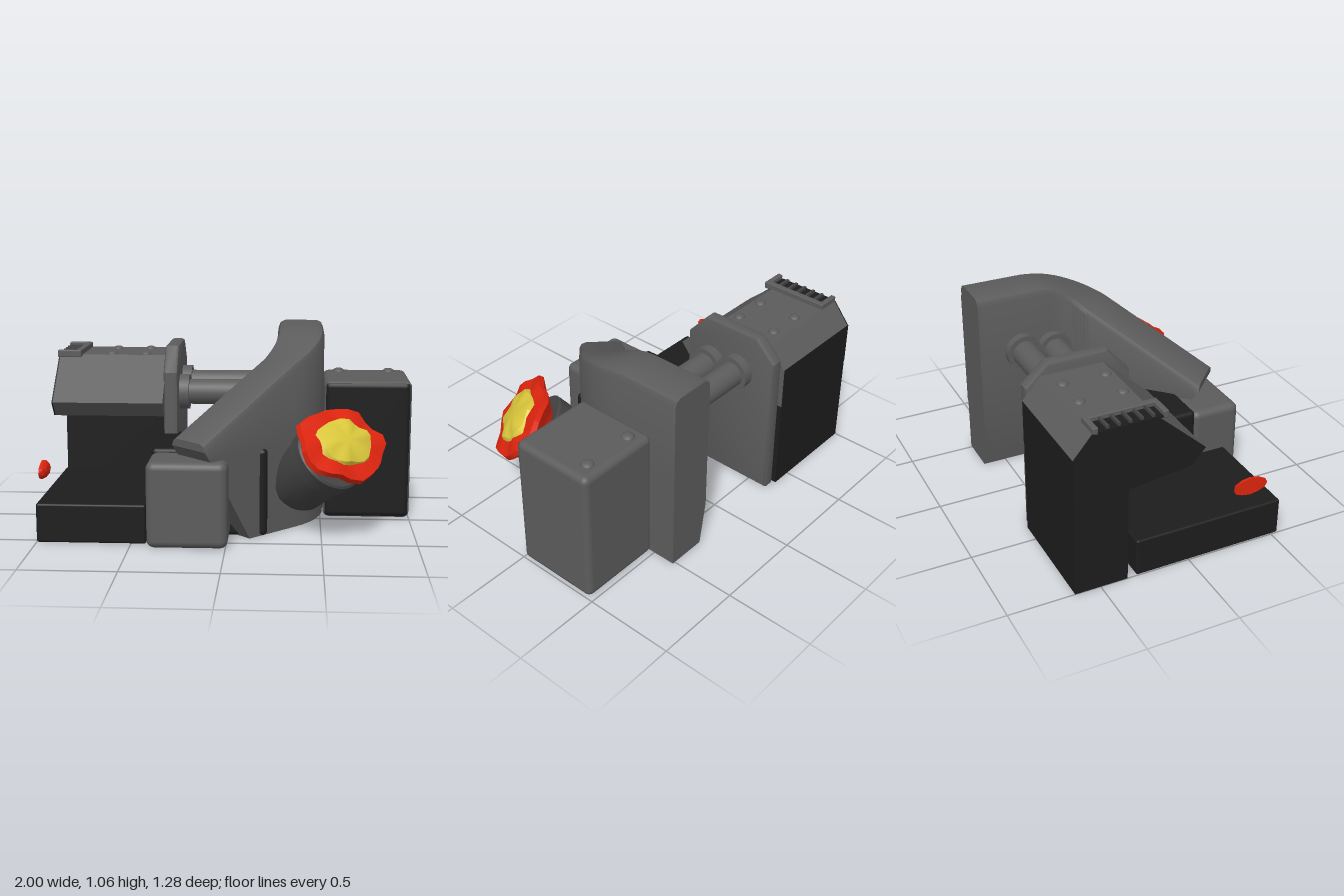
import * as THREE from 'three';
import { toCreasedNormals } from 'three/addons/utils/BufferGeometryUtils.js';
import { RoundedBoxGeometry } from 'three/addons/geometries/RoundedBoxGeometry.js';

function material(name, color, side = THREE.FrontSide) {
  const m = new THREE.MeshStandardMaterial({ color, side });
  m.name = name;
  return m;
}

// Extrudes a [z, y] outline along x from x0 to x1
function prism(points, x0, x1, bevel = 0) {
  const shape = new THREE.Shape(points.map(([z, y]) => new THREE.Vector2(-z, y)));
  const geo = new THREE.ExtrudeGeometry(shape, {
    depth: x1 - x0 - 2 * bevel, bevelEnabled: bevel > 0, bevelSize: bevel,
    bevelThickness: bevel, bevelOffset: -bevel, bevelSegments: 2,
  });
  return geo.rotateY(Math.PI / 2).translate(x0 + bevel, 0, 0);
}

// Curved wall: cross-sections swept along a bent ground path, top sloping down, tip cut back
function wallGeometry() {
  const v = (x, z) => new THREE.Vector2(x, z);
  const path = new THREE.CurvePath();
  path.add(new THREE.LineCurve(v(0.383, -0.63), v(0.383, -0.21)));
  path.add(new THREE.QuadraticBezierCurve(v(0.383, -0.21), v(0.383, -0.04), v(0.265, 0.078)));
  path.add(new THREE.LineCurve(v(0.265, 0.078), v(-0.195, 0.538)));
  const length = path.getLength(), stations = 48, half = 0.132;
  const height = (z) => {
    if (z < -0.3) return 1.06;
    if (z < 0.1) return 1.06 - 0.161 * ((z + 0.3) / 0.4) ** 2;
    return 0.899 - 0.79 * (z - 0.1);
  };
  const reach = (y) => (y > 0.48 ? length : length - 0.03 - (0.47 - y) * 0.6);
  const pos = [], index = [], n = 12;
  for (let i = 0; i <= stations; i++) {
    const s = (i / stations) * length;
    const h = height(path.getPointAt(i / stations).y);
    const side = [[half, 0], [half, 0.25], [half, 0.47], [half, h - 0.04], [half - 0.012, h - 0.012], [half - 0.04, h]];
    const ring = [...side.map(([u, y]) => [y === 0 ? -0.09 : -u, y]), ...side.slice().reverse()];
    for (const [u, y] of ring) {
      const t = Math.min(s, reach(y)) / length;
      const p = path.getPointAt(t), d = path.getTangentAt(t);
      pos.push(p.x + d.y * u, y, p.y - d.x * u);
    }
  }
  for (let i = 0; i < stations; i++) {
    for (let j = 0; j < n; j++) {
      const a = i * n + j, b = i * n + ((j + 1) % n);
      index.push(a, a + n, b, b, a + n, b + n);
    }
  }
  const e = stations * n;
  for (let k = 0; k < n / 2 - 1; k++) {
    const l0 = k, l1 = k + 1, r0 = n - 1 - k, r1 = n - 2 - k;
    index.push(l0, l1, r0, r0, l1, r1);
    index.push(e + l0, e + r0, e + l1, e + r0, e + r1, e + l1);
  }
  const geo = new THREE.BufferGeometry();
  geo.setAttribute('position', new THREE.Float32BufferAttribute(pos, 3));
  geo.setIndex(index);
  return toCreasedNormals(geo, 0.5);
}

// Lathe with a wavy rim, stretched sideways
function flameGeometry(profile, phase) {
  const geo = new THREE.LatheGeometry(profile.map((p) => new THREE.Vector2(...p)), 24);
  const p = geo.attributes.position;
  for (let i = 0; i < p.count; i++) {
    const x = p.getX(i), z = p.getZ(i), a = Math.atan2(z, x);
    const k = 1 + 0.045 * Math.sin(5 * a + phase) + 0.03 * Math.sin(8 * a + phase * 2);
    p.setXYZ(i, x * k * 1.17, p.getY(i) + 0.05 * Math.hypot(x, z) * Math.sin(6 * a + phase), z * k * 0.86);
  }
  return toCreasedNormals(geo, 0.6);
}

export function createModel() {
  const model = new THREE.Group();
  const grey = material('grey', 0x5c5c5c);
  const darkGrey = material('dark grey', 0x444444);
  const black = material('black', 0x1d1d1d);
  const red = material('red', 0xe0250f, THREE.DoubleSide);
  const yellow = material('yellow', 0xdcc83c, THREE.DoubleSide);

  const add = (name, geo, mat, parent = model) => {
    const mesh = new THREE.Mesh(geo, mat);
    mesh.name = name;
    parent.add(mesh);
    return mesh;
  };
  // Box from minimum and maximum corners
  const box = (name, a, b, r, mat) => {
    const size = a.map((v, i) => b[i] - v);
    const geo = r ? new RoundedBoxGeometry(...size, 3, r) : new THREE.BoxGeometry(...size);
    return add(name, geo.translate(...a.map((v, i) => (v + b[i]) / 2)), mat);
  };

  // Housing: grey faceted upper shell, black base and black end
  const shell = [[-0.64, 0.78], [-0.54, 0.9], [-0.19, 0.9], [0.07, 0.665], [0.0, 0.58], [-0.33, 0.54], [-0.64, 0.54]];
  add('housingShell', prism(shell, -0.993, -0.38), grey);
  add('housingEnd', prism(shell, -1, -0.993), black);
  box('housingBase', [-1, 0, -0.64], [-0.385, 0.56, -0.35], 0, black);
  box('housingBack', [-1, 0.54, -0.642], [-0.385, 0.78, -0.635], 0, black);
  box('frontSlab', [-1, 0, -0.3], [-0.42, 0.21, 0.54], 0.012, black);

  // Vent on the housing, open to the outer end
  box('ventFloor', [-1, 0.897, -0.51], [-0.9, 0.906, -0.17], 0, black);
  box('ventFrameSide', [-0.9, 0.89, -0.54], [-0.865, 0.93, -0.14], 0.006, grey);
  for (const z of [-0.54, -0.17]) box('ventFrameEnd', [-1, 0.89, z], [-0.87, 0.93, z + 0.03], 0.006, grey);
  for (let i = 0; i < 5; i++) {
    const z = -0.465 + i * 0.06;
    box('ventSlat', [-0.99, 0.9, z], [-0.9, 0.922, z + 0.015], 0, darkGrey);
  }

  // Flange with cut corners
  const flange = [[-0.62, 0], [-0.62, 0.84], [-0.5, 0.96], [-0.16, 0.96], [-0.035, 0.82], [-0.035, 0]];
  add('flange', toCreasedNormals(prism(flange, -0.385, -0.305, 0.018), 0.6), grey);

  // Pipes with collars
  for (const [y, z] of [[0.715, -0.385], [0.69, -0.2]]) {
    for (const [name, r, x0, x1] of [['pipe', 0.072, -0.31, 0.3], ['pipeCollar', 0.1, -0.31, -0.25], ['pipeCollar', 0.1, 0.205, 0.27]]) {
      const geo = new THREE.CylinderGeometry(r, r, x1 - x0, 24).rotateZ(Math.PI / 2);
      add(name, geo.translate((x0 + x1) / 2, y, z), grey);
    }
  }

  // Wall and the boxes around it
  add('curvedWall', wallGeometry(), grey);
  box('innerBlock', [-0.41, 0, -0.12], [0.21, 0.475, 0.36], 0.025, black);
  box('frontBox', [-0.41, 0.003, 0.35], [0.012, 0.458, 0.637], 0.04, grey);
  box('sideBox', [0.515, 0.008, -0.485], [1, 0.785, -0.003], 0.035, [grey, grey, grey, grey, black, grey]);

  // Rivets
  const rivet = (x, y, z, r) => {
    const geo = new THREE.SphereGeometry(r, 16, 6, 0, Math.PI * 2, 0, Math.PI / 2);
    add('rivet', geo.scale(1, 0.6, 1).translate(x, y, z), grey);
  };
  for (const x of [-0.7, -0.505]) for (const z of [-0.47, -0.235]) rivet(x, 0.898, z, 0.032);
  for (const x of [0.605, 0.895]) rivet(x, 0.783, -0.4, 0.037);

  // Exhaust nozzle with flame, aimed outward and up
  const exhaust = new THREE.Group();
  exhaust.name = 'exhaust';
  const axis = new THREE.Vector3(0.55, 0.64, 0.55).normalize();
  const across = new THREE.Vector3(1, 0, -1).normalize();
  exhaust.setRotationFromMatrix(new THREE.Matrix4().makeBasis(across, axis, across.clone().cross(axis)));
  exhaust.position.set(0.6, 0.51, 0.385);
  model.add(exhaust);
  const nozzle = [[0, -0.48], [0.11, -0.475], [0.15, -0.455], [0.168, -0.42], [0.185, -0.2], [0.198, -0.19], [0.203, -0.11], [0.192, -0.1], [0.12, -0.1]];
  const nozzleGeo = new THREE.LatheGeometry(nozzle.map((p) => new THREE.Vector2(...p)), 32);
  add('nozzle', toCreasedNormals(nozzleGeo, 0.5), darkGrey, exhaust);
  add('flame', flameGeometry([[0.15, -0.12], [0.175, -0.075], [0.2, -0.055], [0.25, -0.01], [0.245, 0.02], [0.17, 0.03], [0, 0.025]], 0.6), red, exhaust);
  add('flameCore', flameGeometry([[0.165, 0.02], [0.15, 0.045], [0.1, 0.06], [0, 0.065]], 1.9), yellow, exhaust);

  // Small flame fragment at the far end, cut flat
  const bit = new THREE.IcosahedronGeometry(1, 1);
  const bp = bit.attributes.position;
  for (let i = 0; i < bp.count; i++) bp.setX(i, Math.max(0, bp.getX(i)));
  bit.scale(0.042, 0.05, 0.1).translate(-1, 0.35, 0.35);
  bit.computeVertexNormals();
  add('flameFragment', bit, red);

  return model;
}
